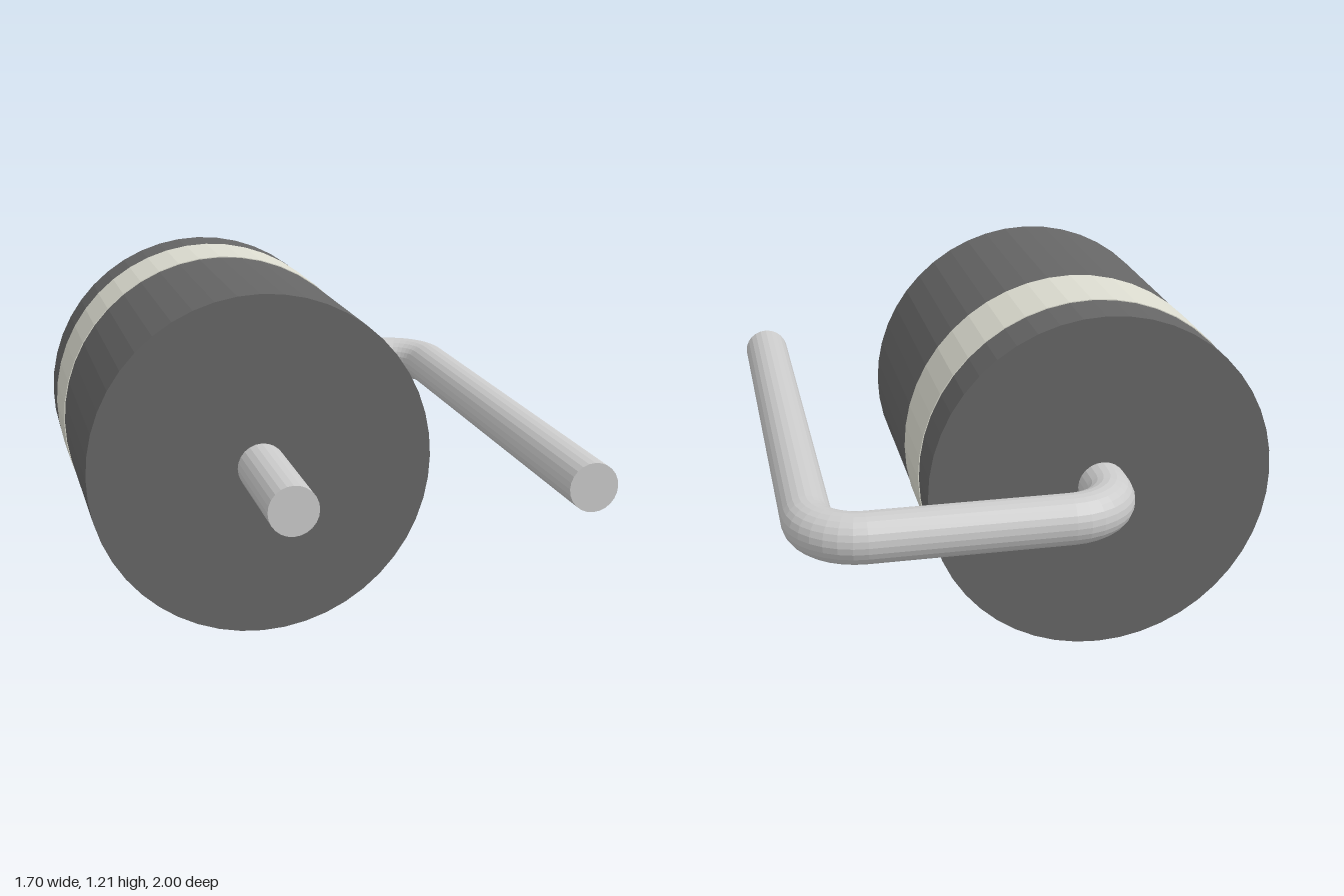
import * as THREE from 'three';

const Y = 0.605;          // height of the common axis
const BODY_X = -0.25;     // axis of the body and the straight lead
const RETURN_X = 0.763;   // axis of the folded-back lead
const WIRE_R = 0.085;
const BEND_R = 0.17;
const BACK_Z = -0.915;    // axis of the cross run behind the body

export function createModel() {
  const group = new THREE.Group();
  const material = (color) => new THREE.MeshStandardMaterial({ color, flatShading: true });
  const dark = material(0x666666);
  const pale = material(0xdcdcd0);
  const metal = material(0xd2d2ce);

  const add = (name, geometry, mat) => {
    const mesh = new THREE.Mesh(geometry, mat);
    mesh.name = name;
    group.add(mesh);
  };

  // Cylinder running along z between two depths
  const rodZ = (radius, x, z0, z1, sides, open = false) =>
    new THREE.CylinderGeometry(radius, radius, z1 - z0, sides, 1, open)
      .rotateX(Math.PI / 2)
      .translate(x, Y, (z0 + z1) / 2);

  // Drum body with a slightly raised polarity band
  add('body', rodZ(0.602, BODY_X, -0.675, 0.53, 48), dark);
  add('band', rodZ(0.605, BODY_X, -0.49, -0.19, 48), pale);

  // Straight leads
  const bendZ = BACK_Z + BEND_R;
  add('axialLead', rodZ(WIRE_R, BODY_X, bendZ, 1, 24), metal);
  add('returnLead', rodZ(WIRE_R, RETURN_X, bendZ, 1, 24), metal);

  // Cross run behind the body
  const x0 = BODY_X + BEND_R, x1 = RETURN_X - BEND_R;
  add('crossLead',
    new THREE.CylinderGeometry(WIRE_R, WIRE_R, x1 - x0, 24, 1, true)
      .rotateZ(Math.PI / 2)
      .translate((x0 + x1) / 2, Y, BACK_Z), metal);

  // Quarter bends joining the runs
  for (const [name, x, turn] of [['innerBend', x0, Math.PI / 2], ['outerBend', x1, 0]]) {
    add(name,
      new THREE.TorusGeometry(BEND_R, WIRE_R, 24, 8, Math.PI / 2)
        .rotateZ(turn)
        .rotateX(-Math.PI / 2)
        .translate(x, Y, bendZ), metal);
  }
  return group;
}
